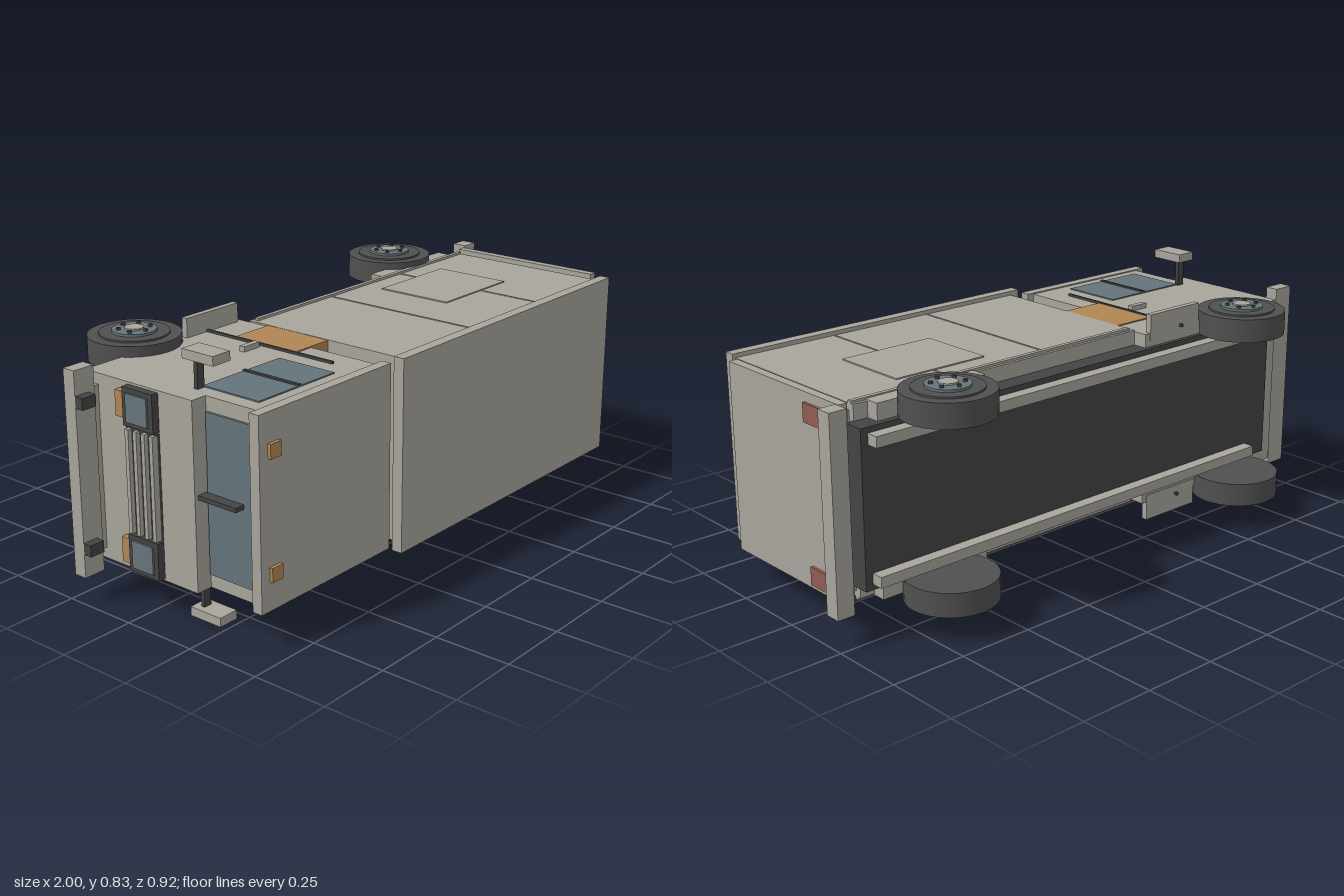
import * as THREE from 'three';

// Box truck resting on its side: nose towards -x, roof towards +z, width along y.
const MID = 0.415;

const mat = (name, color) => {
  const m = new THREE.MeshStandardMaterial({ color });
  m.name = name;
  return m;
};

export function createModel() {
  const group = new THREE.Group();
  group.name = 'boxTruck';

  const paint = mat('beigePaint', 0xa8a59c);
  const dark = mat('darkTrim', 0x444444);
  const rubber = mat('rubber', 0x505050);
  const glass = mat('glass', 0x64747a);
  const hubGrey = mat('hubGrey', 0x66747a);
  const orange = mat('orange', 0xb08655);
  const red = mat('tailRed', 0x915c52);

  // Box from its limits
  const box = (name, m, x0, x1, y0, y1, z0, z1) => {
    const mesh = new THREE.Mesh(new THREE.BoxGeometry(x1 - x0, y1 - y0, z1 - z0), m);
    mesh.position.set((x0 + x1) / 2, (y0 + y1) / 2, (z0 + z1) / 2);
    mesh.name = name;
    group.add(mesh);
    return mesh;
  };
  // Box centred on the truck's middle plane, h = half width
  const wide = (name, m, x0, x1, h, z0, z1) => box(name, m, x0, x1, MID - h, MID + h, z0, z1);
  // Pair of boxes mirrored about the middle plane, a..b = distance from it
  const pair = (name, m, x0, x1, a, b, z0, z1) => {
    box(name + 'Right', m, x0, x1, MID + a, MID + b, z0, z1);
    box(name + 'Left', m, x0, x1, MID - b, MID - a, z0, z1);
  };

  // Chassis
  wide('chassisFloor', dark, -0.85, 0.905, 0.25, -0.255, -0.185);
  pair('chassisRail', paint, -0.75, 0.88, 0.197, 0.232, -0.295, -0.255);

  // Cargo box, roof, skirts and rear door
  wide('cargoBody', paint, -0.25, 0.88, 0.3, -0.19, 0.42);
  wide('cargoRoof', paint, -0.285, 0.89, 0.314, 0.42, 0.457);
  pair('cargoSkirt', paint, -0.235, 0.88, 0.29, 0.308, -0.18, -0.165);
  pair('rearFender', paint, 0.43, 0.83, 0.25, 0.304, -0.235, -0.165);
  pair('sidePanel', paint, 0.31, 0.65, 0.3, 0.304, -0.09, 0.18);
  for (const x of [0.13, 0.51]) pair('panelSeam', paint, x - 0.003, x + 0.003, 0.3, 0.302, -0.165, 0.42);
  wide('rearDoor', paint, 0.9, 0.93, 0.31, -0.19, 0.376);
  wide('doorFrame', paint, 0.88, 0.9, 0.28, -0.17, 0.35);
  wide('rearBumper', paint, 0.94, 1, 0.315, -0.243, -0.19);
  pair('tailLight', red, 0.94, 0.95, 0.226, 0.286, -0.16, -0.04);

  // Cab
  wide('cabLower', paint, -0.905, -0.33, 0.295, -0.24, 0.195);
  wide('cabBase', paint, -0.33, -0.25, 0.295, -0.24, -0.11);
  wide('cabUpper', paint, -0.85, -0.33, 0.295, 0.195, 0.39);
  wide('cabRoof', paint, -0.885, -0.305, 0.299, 0.39, 0.425);
  wide('orangeLocker', orange, -0.41, -0.25, 0.299, -0.11, 0.137);
  pair('sideWindow', glass, -0.8, -0.475, 0.294, 0.299, 0.137, 0.35);
  pair('windowBar', dark, -0.635, -0.624, 0.294, 0.304, 0.137, 0.35);
  pair('doorGap', dark, -0.414, -0.406, 0.294, 0.303, -0.255, 0.29);
  pair('doorHandle', paint, -0.493, -0.425, 0.294, 0.312, -0.008, 0.012);
  pair('cabStep', paint, -0.5, -0.27, 0.27, 0.358, -0.243, -0.222);
  pair('roofLamp', orange, -0.85, -0.805, 0.163, 0.208, 0.425, 0.436);
  pair('cabSill', paint, -0.5, -0.27, 0.27, 0.3, -0.24, -0.225);

  // Windscreen with centre bar
  wide('windscreen', glass, -0.858, -0.85, 0.25, 0.2, 0.385);
  wide('windscreenBar', dark, -0.892, -0.858, 0.007, 0.19, 0.34);

  // Nose: headlights, indicators, grille bars
  pair('headlightFrame', dark, -0.93, -0.905, 0.17, 0.288, -0.06, 0.062);
  pair('headlightLens', hubGrey, -0.936, -0.93, 0.185, 0.273, -0.042, 0.044);
  pair('indicator', orange, -0.925, -0.905, 0.19, 0.27, -0.095, -0.065);
  wide('grille', dark, -0.92, -0.905, 0.165, -0.06, 0.062);
  for (let i = 0; i < 4; i++) {
    const z = -0.05 + i * 0.033;
    wide('grilleBar', paint, -0.935, -0.915, 0.163, z, z + 0.014);
  }
  wide('frontBumper', paint, -1, -0.925, 0.326, -0.225, -0.18);
  wide('bumperMount', paint, -0.93, -0.9, 0.26, -0.225, -0.185);
  pair('bumperBlock', dark, -1, -0.948, 0.212, 0.249, -0.18, -0.15);

  // Mirrors
  pair('mirrorArm', dark, -0.828, -0.8, 0.29, 0.386, 0.13, 0.143);
  pair('mirror', paint, -0.85, -0.78, 0.386, 0.415, 0.107, 0.227);

  // Wheels, outer side towards +y
  const cyl = (name, m, r, y0, y1, seg = 32, x = 0, z = 0) => {
    const mesh = new THREE.Mesh(new THREE.CylinderGeometry(r, r, y1 - y0, seg), m);
    mesh.position.set(x, (y0 + y1) / 2, z);
    mesh.name = name;
    return mesh;
  };
  for (const x of [-0.635, 0.635]) {
    for (const side of [1, -1]) {
      const wheel = new THREE.Group();
      wheel.name = (x < 0 ? 'front' : 'rear') + 'Wheel' + (side > 0 ? 'Right' : 'Left');
      wheel.add(
        cyl('tyre', rubber, 0.146, 0.25, 0.328),
        cyl('tyreWall', rubber, 0.11, 0.328, 0.334),
        cyl('hub', hubGrey, 0.07, 0.334, 0.342),
        cyl('hubCap', paint, 0.03, 0.342, 0.347, 20),
      );
      for (let i = 0; i < 6; i++) {
        const a = (i + 0.5) * Math.PI / 3;
        wheel.add(cyl('wheelBolt', dark, 0.007, 0.342, 0.349, 8, 0.05 * Math.cos(a), 0.05 * Math.sin(a)));
      }
      wheel.position.set(x, MID, -0.313);
      if (side < 0) wheel.rotation.x = Math.PI;
      group.add(wheel);
    }
  }

  return group;
}
